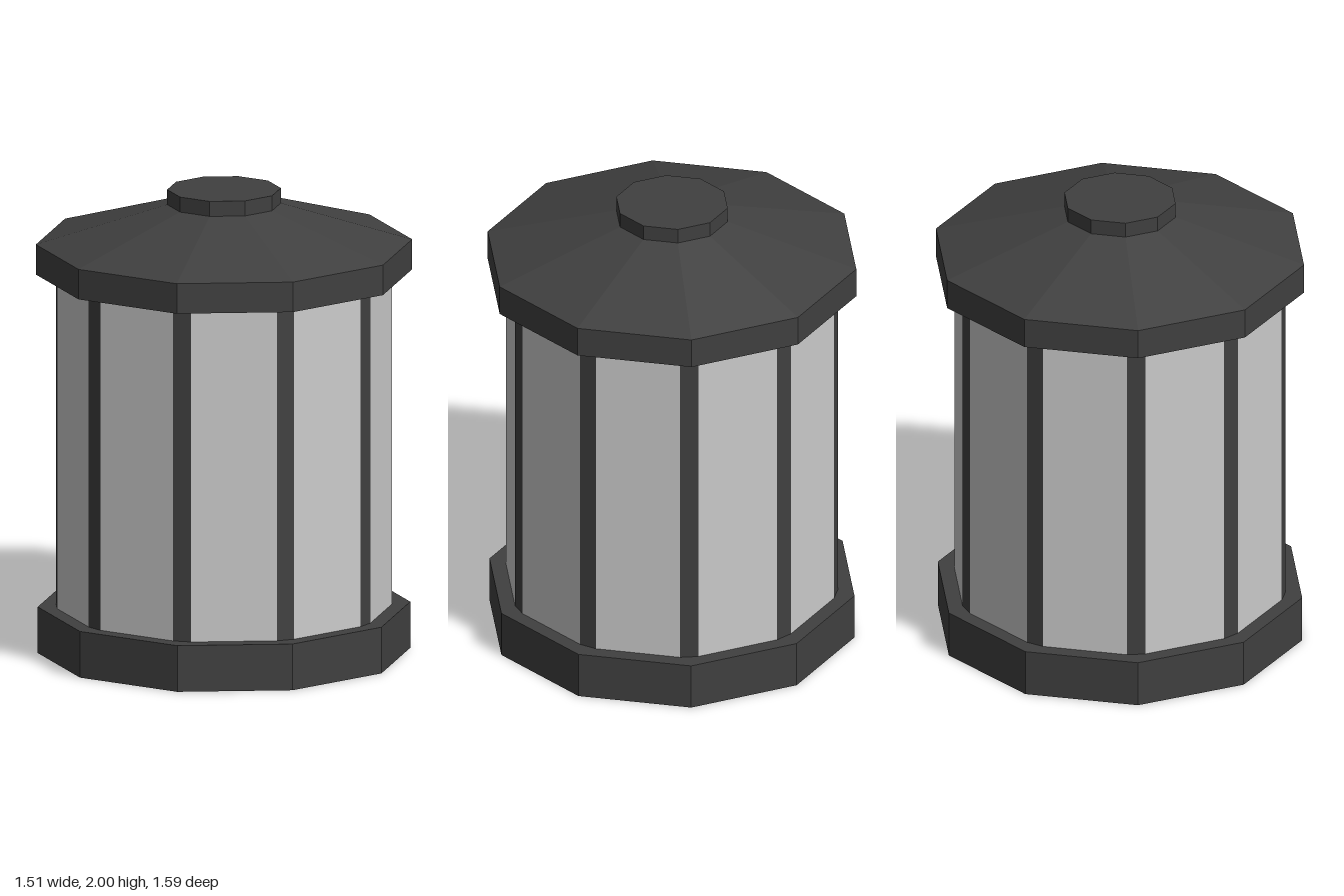
import * as THREE from 'three';

const SIDES = 10;
const STEP = (Math.PI * 2) / SIDES;

export function createModel() {
  const group = new THREE.Group();
  group.name = 'lantern';
  const metal = new THREE.MeshStandardMaterial({ color: 0x404040, flatShading: true });
  const glass = new THREE.MeshStandardMaterial({ color: 0xcccccc, flatShading: true, side: THREE.DoubleSide });
  const barMetal = metal.clone();
  barMetal.side = THREE.DoubleSide;

  // Ten-sided solid between two heights, with a corner on +z
  function prism(name, rTop, rBottom, y0, y1) {
    const mesh = new THREE.Mesh(new THREE.CylinderGeometry(rTop, rBottom, y1 - y0, SIDES), metal);
    mesh.position.y = (y0 + y1) / 2;
    mesh.name = name;
    group.add(mesh);
  }

  // Upright flat strip facing outward at an angle around the axis
  function strip(name, width, distance, angle, material) {
    const mesh = new THREE.Mesh(new THREE.PlaneGeometry(width, bodyTop - bodyBottom), material);
    mesh.position.set(Math.sin(angle) * distance, (bodyTop + bodyBottom) / 2, Math.cos(angle) * distance);
    mesh.rotation.y = angle;
    mesh.name = name;
    group.add(mesh);
  }

  const bodyBottom = 0.2, bodyTop = 1.64;

  // Base, roof and top cap
  prism('base', 0.787, 0.787, 0, bodyBottom);
  prism('roofRim', 0.795, 0.795, bodyTop, 1.77);
  prism('roofSlope', 0.24, 0.795, 1.77, 1.935);
  prism('topCap', 0.24, 0.24, 1.935, 2);

  // Body: narrow bars across the corners, with wide panes flush between them
  const barDistance = 0.707, barHalf = 0.039, half = STEP / 2;
  const paneDistance = barDistance * Math.cos(half) + barHalf * Math.sin(half);
  const paneWidth = 2 * (barDistance * Math.sin(half) - barHalf * Math.cos(half));
  for (let i = 0; i < SIDES; i++) {
    strip('cornerBar', barHalf * 2, barDistance, i * STEP, barMetal);
    strip('glassPane', paneWidth, paneDistance, (i + 0.5) * STEP, glass);
  }
  return group;
}
